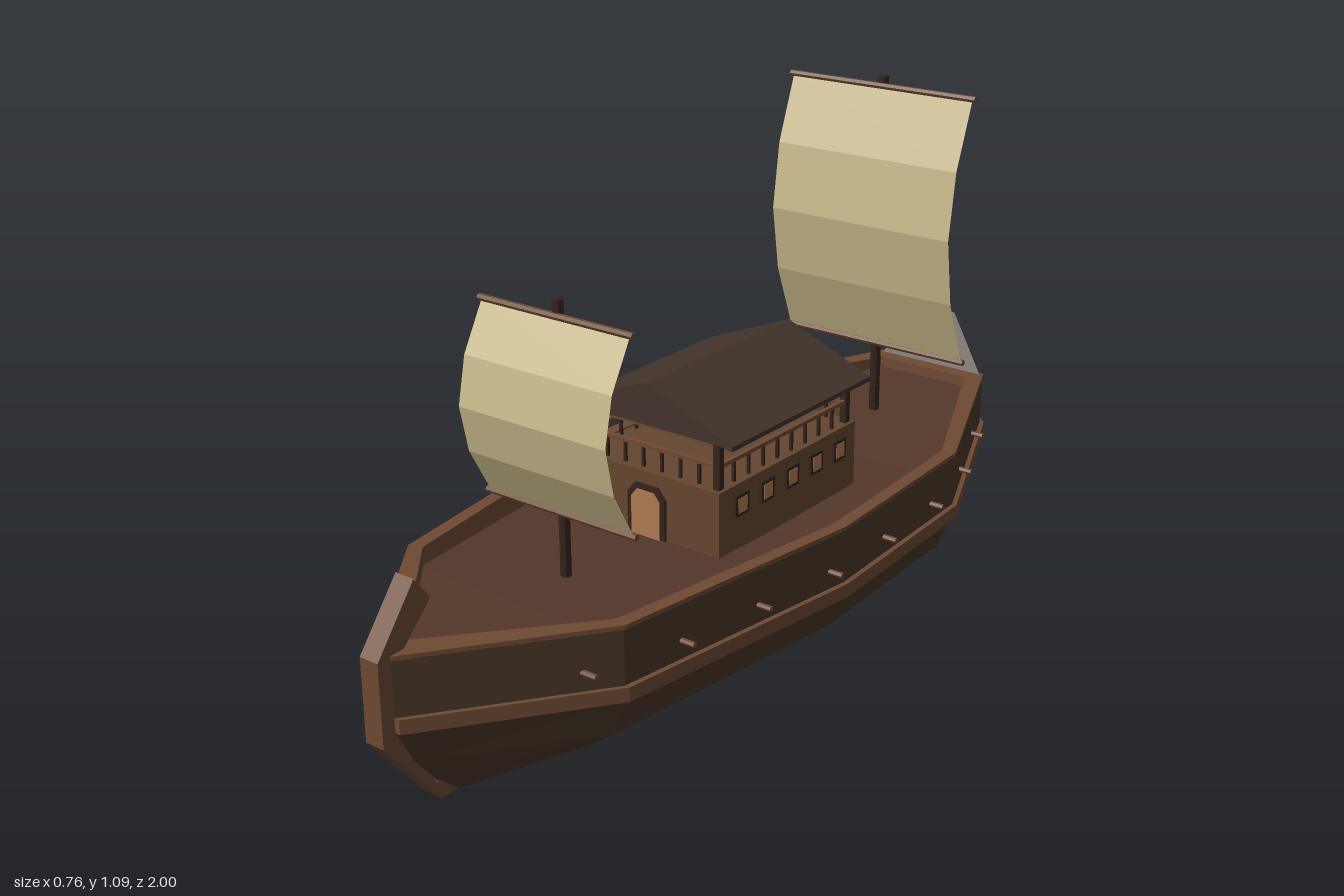
import * as THREE from 'three';
import { ConvexGeometry } from 'three/addons/geometries/ConvexGeometry.js';

const mat = (color) => new THREE.MeshStandardMaterial({ color, flatShading: true, side: THREE.DoubleSide });
const HULL = mat(0x4a3728), TRIM = mat(0x6e4a33), DECK = mat(0x54382a), ROOF = mat(0x43342c);
const WALL = mat(0x664630), DARK = mat(0x33241b), PANE = mat(0xb07a52), SAIL = mat(0xc8b88a);

// Deck outline: z and half width from bow to stern
const STATIONS = [[0.97, 0.022], [0.64, 0.27], [0.06, 0.355], [-0.4, 0.335], [-0.86, 0.14]];

function halfWidth(z) {
  for (let i = 1; i < STATIONS.length; i++) {
    const [za, wa] = STATIONS[i - 1], [zb, wb] = STATIONS[i];
    if (z >= zb) return wa + (wb - wa) * (za - z) / (za - zb);
  }
  return 0.14;
}

function add(parent, name, geometry, material, x = 0, y = 0, z = 0) {
  const mesh = new THREE.Mesh(geometry, material);
  mesh.name = name;
  mesh.position.set(x, y, z);
  parent.add(mesh);
  return mesh;
}
const box = (parent, name, material, w, h, d, x, y, z) =>
  add(parent, name, new THREE.BoxGeometry(w, h, d), material, x, y, z);

// Surface through rows of [x, y, z] points
function loft(rows) {
  const n = rows[0].length, index = [];
  for (let i = 0; i < rows.length - 1; i++) {
    for (let j = 0; j < n - 1; j++) {
      const a = i * n + j, b = a + n;
      index.push(a, b, a + 1, a + 1, b, b + 1);
    }
  }
  const g = new THREE.BufferGeometry();
  g.setAttribute('position', new THREE.Float32BufferAttribute(rows.flat(2), 3));
  g.setIndex(index);
  g.computeVertexNormals();
  return g;
}

// Horizontal ring between two mirrored [z, half width] outlines
function ring(outer, inner, y0, y1) {
  const mirror = (o) => [
    ...o.map(([z, w]) => new THREE.Vector2(w, -z)),
    ...[...o].reverse().map(([z, w]) => new THREE.Vector2(-w, -z)),
  ];
  const shape = new THREE.Shape(mirror(outer));
  shape.holes.push(new THREE.Path(mirror(inner)));
  return new THREE.ExtrudeGeometry(shape, { depth: y1 - y0, bevelEnabled: false })
    .rotateX(-Math.PI / 2).translate(0, y0, 0);
}

function buildHull(ship) {
  // Section levels: y, width factor, bow z, stern z
  const levels = [[0.335, 1, 0.97, -0.86], [0.185, 1, 0.97, -0.86], [0.105, 0.9, 0.93, -0.857],
    [0.045, 0.6, 0.88, -0.85], [0, 0, 0.83, -0.84]];
  const rows = STATIONS.map(([z, w], i) => {
    const side = levels.map(([y, f, bow, stern]) =>
      [Math.max(0.02, w * f), y, i === 0 ? bow : i === 4 ? stern : z]);
    return [...side, ...[...side].reverse().map(([x, y, zz]) => [-x, y, zz])];
  });
  add(ship, 'hull', loft(rows), HULL);

  // Deck rising slightly towards both ends
  const deck = [[0.92, 0.01, 0.305], [0.64, 0.25, 0.3], [0.06, 0.335, 0.28], [-0.37, 0.315, 0.28], [-0.83, 0.13, 0.315]];
  add(ship, 'deck', loft(deck.map(([z, w, y]) => [[w, y, z], [-w, y, z]])), DECK);

  // Bulwark, top rail and wale
  const inner = [[0.91, 0.004], [0.63, 0.244], [0.06, 0.33], [-0.39, 0.309], [-0.815, 0.118]];
  const grow = (d) => STATIONS.map(([z, w]) => [z, w + d]);
  add(ship, 'bulwark', ring(grow(-0.004), inner, 0.275, 0.332), TRIM);
  add(ship, 'topRail', ring(grow(0.003), inner, 0.329, 0.338), TRIM);
  add(ship, 'wale', ring([...grow(0.011), [-0.965, 0.05]],
    [...grow(-0.01), [-0.95, 0.03]], 0.185, 0.215), TRIM);

  // Raised sternpiece
  const half = [[0.14, 0.335, -0.85], [0.14, 0.185, -0.86], [0.126, 0.105, -0.857], [0.084, 0.045, -0.85],
    [0.02, 0, -0.84], [0.025, 0.455, -0.915], [0.03, 0.3, -1], [0.03, 0.2, -0.97]];
  add(ship, 'sternPiece', new ConvexGeometry(half.flatMap(([x, y, z]) =>
    [new THREE.Vector3(x, y, z), new THREE.Vector3(-x, y, z)])), HULL);

  // Curved stem post, profile in z and y
  const stem = new THREE.Shape([[0.79, 0], [0.87, 0], [1, 0.165], [1, 0.335], [0.905, 0.46], [0.868, 0.41],
    [0.955, 0.32], [0.955, 0.18], [0.88, 0.04], [0.78, 0.03]].map(([z, y]) => new THREE.Vector2(z, y)));
  add(ship, 'stemPost', new THREE.ExtrudeGeometry(stem, { depth: 0.044, bevelEnabled: false })
    .rotateY(-Math.PI / 2).translate(0.022, 0, 0), TRIM);

  // Pegs through the sides
  for (let i = 0; i < 8; i++) {
    const z = 0.7 - i * 0.2;
    for (const s of [-1, 1]) {
      add(ship, 'sidePeg', new THREE.CylinderGeometry(0.006, 0.006, 0.06, 6).rotateZ(Math.PI / 2),
        TRIM, s * (halfWidth(z) + 0.001), 0.253, z);
    }
  }
}

function buildCabin(ship) {
  const cabin = new THREE.Group();
  cabin.name = 'cabin';
  ship.add(cabin);
  box(cabin, 'cabinWalls', WALL, 0.36, 0.15, 0.48, 0, 0.35, 0);

  // Side windows
  for (const s of [-1, 1]) {
    for (let i = 0; i < 5; i++) {
      const z = 0.17 - i * 0.0865;
      box(cabin, 'windowFrame', DARK, 0.01, 0.046, 0.044, s * 0.181, 0.38, z);
      box(cabin, 'windowPane', PANE, 0.012, 0.032, 0.03, s * 0.181, 0.38, z);
    }
  }

  // Arched door at the front
  const arch = (w, h) => {
    const s = new THREE.Shape();
    s.moveTo(-w, 0);
    s.lineTo(w, 0);
    s.lineTo(w, h - w * 0.5);
    s.lineTo(w * 0.6, h);
    s.lineTo(-w * 0.6, h);
    s.lineTo(-w, h - w * 0.5);
    return new THREE.ExtrudeGeometry(s, { depth: 0.008, bevelEnabled: false });
  };
  add(cabin, 'doorFrame', arch(0.048, 0.118), DARK, 0, 0.28, 0.238);
  add(cabin, 'door', arch(0.036, 0.106), PANE, 0, 0.28, 0.241);

  // Open gallery: corner posts, beams, handrails and balusters
  for (const s of [-1, 1]) {
    for (const t of [-1, 1]) box(cabin, 'cornerPost', DARK, 0.015, 0.1, 0.015, s * 0.165, 0.475, t * 0.222);
    for (const [y, h] of [[0.473, 0.008], [0.52, 0.012]]) {
      box(cabin, 'sideRail', TRIM, 0.01, h, 0.444, s * 0.165, y, 0);
      box(cabin, 'endRail', TRIM, 0.33, h, 0.01, 0, y, s * 0.222);
    }
    for (let i = 1; i < 9; i++) {
      box(cabin, 'sideBaluster', DARK, 0.006, 0.05, 0.006, s * 0.165, 0.448, -0.222 + i * 0.0493);
      if (i < 7) box(cabin, 'endBaluster', DARK, 0.006, 0.05, 0.006, -0.165 + i * 0.0471, 0.448, s * 0.222);
    }
  }

  // Pitched roof
  const gable = new THREE.Shape([[-0.21, 0.52], [-0.18, 0.525], [0.18, 0.525], [0.21, 0.52], [0.21, 0.53], [0, 0.615], [-0.21, 0.53]]
    .map(([x, y]) => new THREE.Vector2(x, y)));
  add(cabin, 'roof', new THREE.ExtrudeGeometry(gable, { depth: 0.485, bevelEnabled: false }), ROOF, 0, 0, -0.247);
}

// Mast with two yards and a billowing sail
function buildRig(ship, name, z, top, radius, y0, y1, w, billow) {
  const rig = new THREE.Group();
  rig.name = name;
  rig.position.z = z;
  ship.add(rig);
  add(rig, 'mast', new THREE.CylinderGeometry(radius, radius, top - 0.28, 8), DARK, 0, (top + 0.28) / 2, 0);
  for (const y of [y0, y1]) {
    add(rig, 'yard', new THREE.CylinderGeometry(0.007, 0.007, 2 * w + 0.016, 6).rotateZ(Math.PI / 2), TRIM, 0, y, radius);
  }
  // Front cloth in four bands; back cloth drawn in towards the mast
  const front = [], back = [];
  const curve = [0, 0.72, 1, 0.72, 0];
  curve.forEach((c, i) => {
    const y = y0 + (y1 - y0) * i / 4, zb = radius + billow * c;
    front.push([[-w, y, zb], [w, y, zb]]);
    back.push([-1, -0.75, -0.5, -0.25, 0, 0.25, 0.5, 0.75, 1].map((t) =>
      [t * w, y, radius + billow * c * (0.1 + 0.9 * t * t) - 0.001]));
  });
  add(rig, 'sailFront', loft(front), SAIL);
  const smooth = SAIL.clone();
  smooth.flatShading = false;
  add(rig, 'sailBack', loft(back), smooth);
}

export function createModel() {
  const ship = new THREE.Group();
  ship.name = 'sailingShip';
  buildHull(ship);
  buildCabin(ship);
  buildRig(ship, 'foreRig', 0.49, 0.855, 0.011, 0.432, 0.825, 0.18, 0.075);
  buildRig(ship, 'aftRig', -0.6, 1.085, 0.012, 0.467, 1.065, 0.232, 0.078);
  return ship;
}
